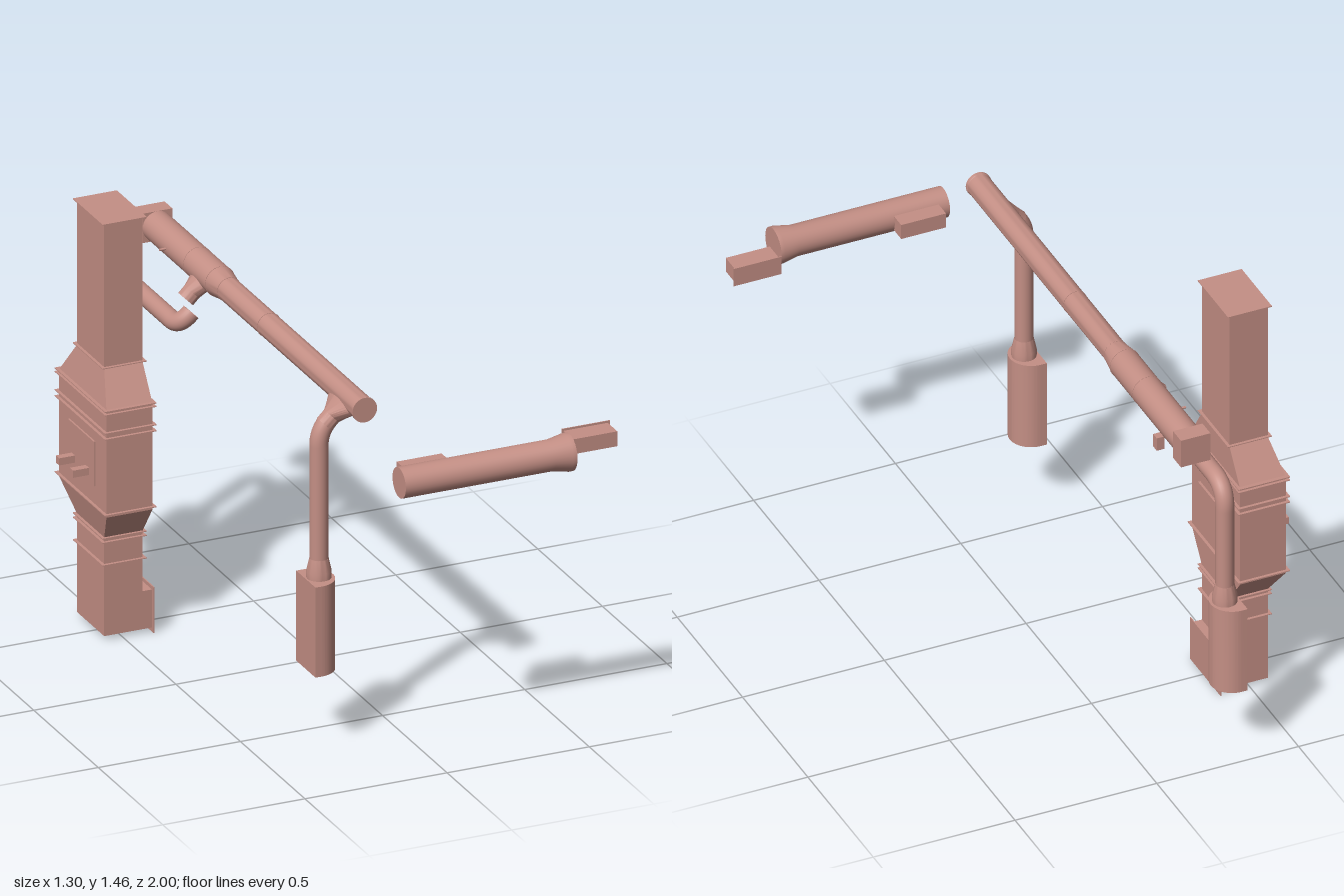
import * as THREE from 'three';
import { toCreasedNormals } from 'three/addons/utils/BufferGeometryUtils.js';

const V = (x, y, z) => new THREE.Vector3(x, y, z);

export function createModel() {
  const model = new THREE.Group();
  const material = new THREE.MeshStandardMaterial({ color: 0xc48f85, side: THREE.DoubleSide });

  function add(name, geometry, parent = model) {
    const mesh = new THREE.Mesh(geometry, material);
    mesh.name = name;
    parent.add(mesh);
    return mesh;
  }

  // Box given by its limits on each axis
  function box(name, [x0, x1], [y0, y1], [z0, z1], parent) {
    const g = new THREE.BoxGeometry(x1 - x0, y1 - y0, z1 - z0);
    g.translate((x0 + x1) / 2, (y0 + y1) / 2, (z0 + z1) / 2);
    return add(name, g, parent);
  }

  // Tapered rectangular duct; sections are [x0, x1, z0, z1]
  function taperedDuct(name, y0, y1, bottom, top, parent) {
    const g = new THREE.BoxGeometry(1, 1, 1);
    const p = g.attributes.position;
    for (let i = 0; i < p.count; i++) {
      const up = p.getY(i) > 0;
      const s = up ? top : bottom;
      p.setXYZ(i, s[p.getX(i) > 0 ? 1 : 0], up ? y1 : y0, s[p.getZ(i) > 0 ? 3 : 2]);
    }
    g.computeVertexNormals();
    return add(name, g, parent);
  }

  // Turned part with closed ends; profile of [radius, distance] along a direction
  function turned(name, profile, origin, direction, parent) {
    const pts = [[0, profile[0][1]], ...profile, [0, profile.at(-1)[1]]];
    const lathe = new THREE.LatheGeometry(pts.map(([r, t]) => new THREE.Vector2(r, t)), 32);
    const mesh = add(name, toCreasedNormals(lathe, 0.5), parent);
    mesh.position.copy(origin);
    mesh.quaternion.setFromUnitVectors(V(0, 1, 0), direction.clone().normalize());
    return mesh;
  }

  // Round pipe through corner points with rounded bends
  function bentPipe(name, corners, radius, bend, parent) {
    const path = new THREE.CurvePath();
    let last = corners[0];
    for (let i = 1; i < corners.length - 1; i++) {
      const c = corners[i];
      const a = c.clone().add(corners[i - 1].clone().sub(c).setLength(bend[i - 1]));
      const b = c.clone().add(corners[i + 1].clone().sub(c).setLength(bend[i - 1]));
      path.add(new THREE.LineCurve3(last, a));
      path.add(new THREE.QuadraticBezierCurve3(a, c, b));
      last = b;
    }
    path.add(new THREE.LineCurve3(last, corners.at(-1)));
    return add(name, new THREE.TubeGeometry(path, 110, radius, 24), parent);
  }

  // Rectangular tower
  const tower = new THREE.Group();
  tower.name = 'ductTower';
  model.add(tower);
  const neck = [-0.565, -0.43, -0.624, -0.412];
  const wide = [-0.592, -0.43, -0.705, -0.335];
  taperedDuct('lowerDuct', 0.015, 0.36, neck, neck, tower);
  taperedDuct('lowerTransition', 0.36, 0.465, neck, wide, tower);
  taperedDuct('wideBody', 0.465, 0.835, wide, wide, tower);
  taperedDuct('upperTransition', 0.835, 0.95, wide, neck, tower);
  taperedDuct('upperDuct', 0.95, 1.46, neck, neck, tower);

  // Thin flanges at the joints
  const flange = (y, [x0, x1, z0, z1]) => box('flange',
    [x0 - 0.01, x1 + 0.01], [y - 0.0015, y + 0.0015], [z0 - 0.01, z1 + 0.01], tower);
  for (const y of [0.266, 0.345, 0.36, 0.955, 1.4585]) flange(y, neck);
  for (const y of [0.476, 0.742, 0.763, 0.827, 0.839]) flange(y, wide);

  // Side outlet, access door and strip
  box('outlet', [-0.44, -0.395], [0.015, 0.148], [-0.624, -0.412], tower);
  box('outletFlange', [-0.397, -0.393], [0, 0.16], [-0.635, -0.4], tower);
  box('accessDoor', [-0.598, -0.59], [0.542, 0.698], [-0.62, -0.42], tower);
  for (const z of [-0.578, -0.47])
    box('doorHandle', [-0.654, -0.595], [0.567, 0.592], [z - 0.013, z + 0.013], tower);
  box('strip', [-0.432, -0.422], [0.672, 0.677], [-0.63, -0.4], tower);

  // Overhead pipe along the depth, widening towards the back
  const axis = V(-0.172, 1.197, 0);
  turned('overheadPipe', [[0.043, -0.742], [0.043, -0.732], [0.041, -0.73],
    [0.041, 0.31], [0.052, 0.38], [0.052, 0.87]], axis, V(0, 0, -1));
  for (const z of [0, -0.31, -0.38, -0.55])
    turned('pipeSeam', [[z < -0.35 ? 0.053 : 0.0422, 0], [z < -0.35 ? 0.053 : 0.0422, 0.003]],
      V(axis.x, axis.y, z), V(0, 0, -1));
  box('endBox', [-0.223, -0.119], [1.146, 1.249], [-0.927, -0.866]);
  box('damperBox', [-0.133, -0.106], [1.117, 1.165], [-0.77, -0.742]);
  turned('pin', [[0.004, 0], [0.004, 0.03]], V(-0.215, 1.197, -0.69), V(-1, 0, 0));

  // Branch shoes leaving the overhead pipe at 45 degrees, flared lengthwise
  function branch(z, flare, end) {
    const g = new THREE.CylinderGeometry(0.031, 0.031, 1, 32, 2);
    const p = g.attributes.position;
    const levels = [0.02, 0.085, end];
    for (let i = 0; i < p.count; i++) {
      const level = Math.round((p.getY(i) + 0.5) * 2);
      p.setY(i, levels[level]);
      if (level === 0) p.setZ(i, p.getZ(i) * flare / 0.031);
    }
    const mesh = add('branchShoe', toCreasedNormals(g, 0.5));
    mesh.position.set(axis.x, axis.y, z);
    mesh.rotation.z = Math.PI * 0.75;
  }
  branch(0.615, 0.105, 0.12);
  branch(-0.468, 0.068, 0.115);

  // Drop pipes
  const dropX = -0.276;
  bentPipe('frontDropPipe', [V(dropX, 0.62, 0.615), V(dropX, 1.093, 0.615),
    V(-0.2, 1.169, 0.615)], 0.031, [0.05]);
  bentPipe('backDropPipe', [V(dropX, 0.62, -0.922), V(dropX, 1.025, -0.922),
    V(dropX, 1.025, -0.468), V(-0.234, 1.067, -0.468)], 0.031, [0.085, 0.057]);

  // Half-round extraction hoods with their reducers
  for (const z of [0.615, -0.922]) {
    const hood = new THREE.Group();
    hood.name = 'extractionHood';
    hood.position.z = z;
    model.add(hood);
    const outline = new THREE.Shape();
    outline.moveTo(-0.322, -0.075);
    outline.lineTo(-0.301, -0.075);
    outline.absarc(-0.301, 0, 0.075, -Math.PI / 2, Math.PI / 2, false);
    outline.lineTo(-0.322, 0.075);
    outline.closePath();
    const g = new THREE.ExtrudeGeometry(outline, { depth: 0.315, bevelEnabled: false, curveSegments: 24 });
    g.rotateX(-Math.PI / 2).translate(0, 0.267, 0);
    add('hoodBody', toCreasedNormals(g, 0.5), hood);
    turned('reducer', [[0.041, 0.58], [0.041, 0.605], [0.031, 0.65]], V(dropX, 0, 0), V(0, 1, 0), hood);
  }

  // Separate crosswise pipe with flared end and rear box
  turned('crossPipe', [[0.052, -0.14], [0.052, 0.39], [0.063, 0.445], [0.063, 0.459]],
    V(0, 1.015, 0.937), V(1, 0, 0));
  box('crossPipeBox', [-0.103, 0.055], [0.988, 1.042], [0.836, 0.91]);

  // Loose rectangular duct piece
  box('looseDuct', [0.487, 0.642], [0.988, 1.04], [0.827, 0.905]);
  box('looseDuctFlange', [0.481, 0.65], [0.98, 1.047], [0.827, 0.83]);

  return model;
}
